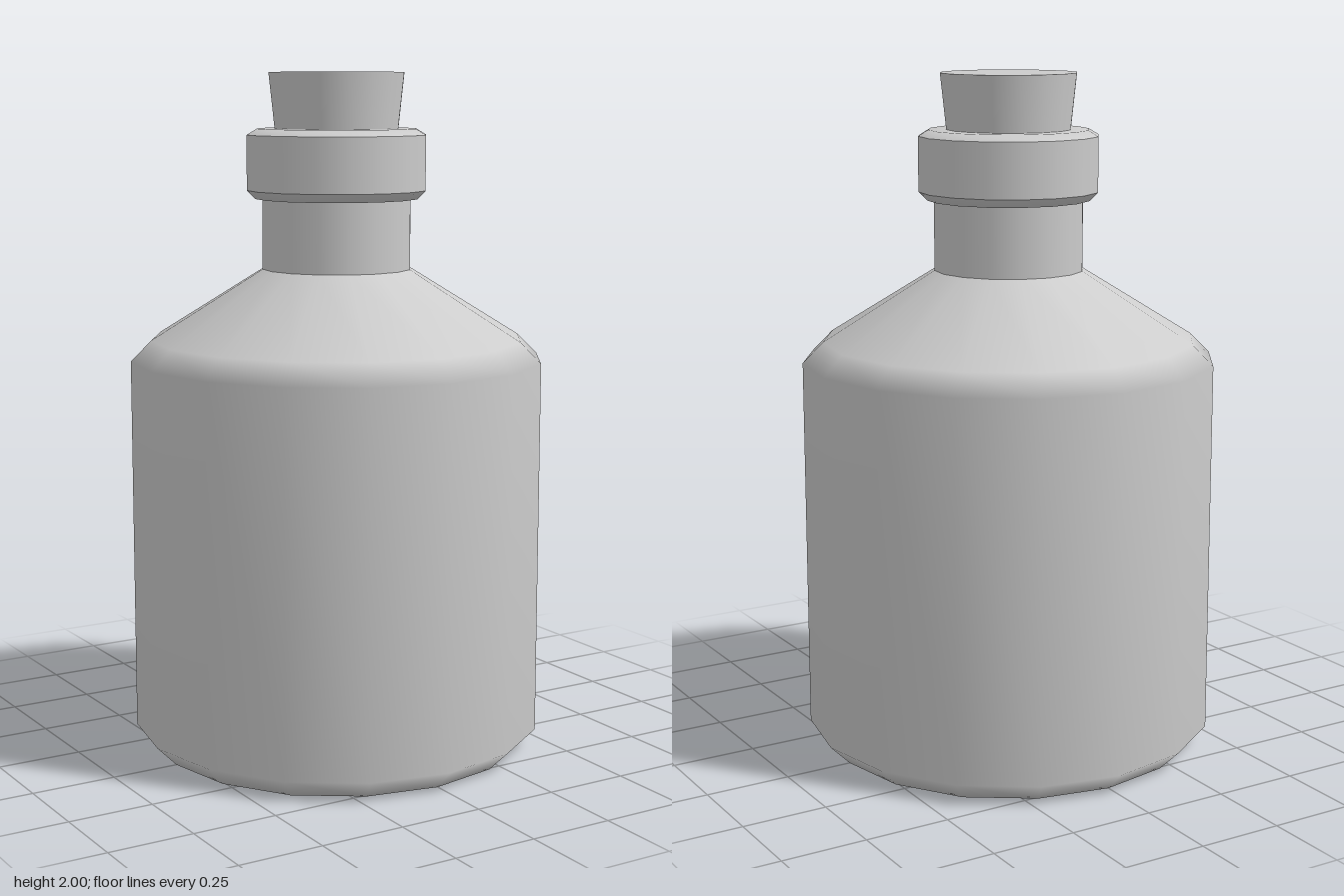
import * as THREE from 'three';

const SIDES = 16;

export function createModel() {
  const bottle = new THREE.Group();
  bottle.name = 'stopperedBottle';
  const material = new THREE.MeshStandardMaterial({ color: 0xcccccc });

  // Each profile is turned into its own smooth strip; edges between strips stay sharp.
  function turned(name, ...profiles) {
    const part = new THREE.Group();
    part.name = name;
    profiles.forEach((profile, i) => {
      const points = profile.map(([r, y]) => new THREE.Vector2(r, y));
      const mesh = new THREE.Mesh(new THREE.LatheGeometry(points, SIDES), material);
      mesh.name = profiles.length > 1 ? `${name}Surface${i + 1}` : name;
      part.add(mesh);
    });
    bottle.add(part);
  }

  // Body: base, bevel, wall, rounded shoulder and slope up to the neck
  turned('body', [[0, 0], [0.55, 0], [0.61, 0.06], [0.61, 1.165], [0.55, 1.225], [0.22, 1.43]]);

  // Neck
  turned('neck', [[0.22, 1.43], [0.22, 1.64]]);

  // Lip: underside, side wall, softly bevelled top
  turned('lip',
    [[0.22, 1.635], [0.24, 1.635], [0.265, 1.66]],
    [[0.265, 1.66], [0.265, 1.82]],
    [[0.265, 1.82], [0.235, 1.838], [0.175, 1.838]]);

  // Tapered stopper, reaching down into the neck
  turned('stopper',
    [[0, 1.7], [0.168, 1.7]],
    [[0.168, 1.7], [0.2, 2]],
    [[0.2, 2], [0, 2]]);

  return bottle;
}
